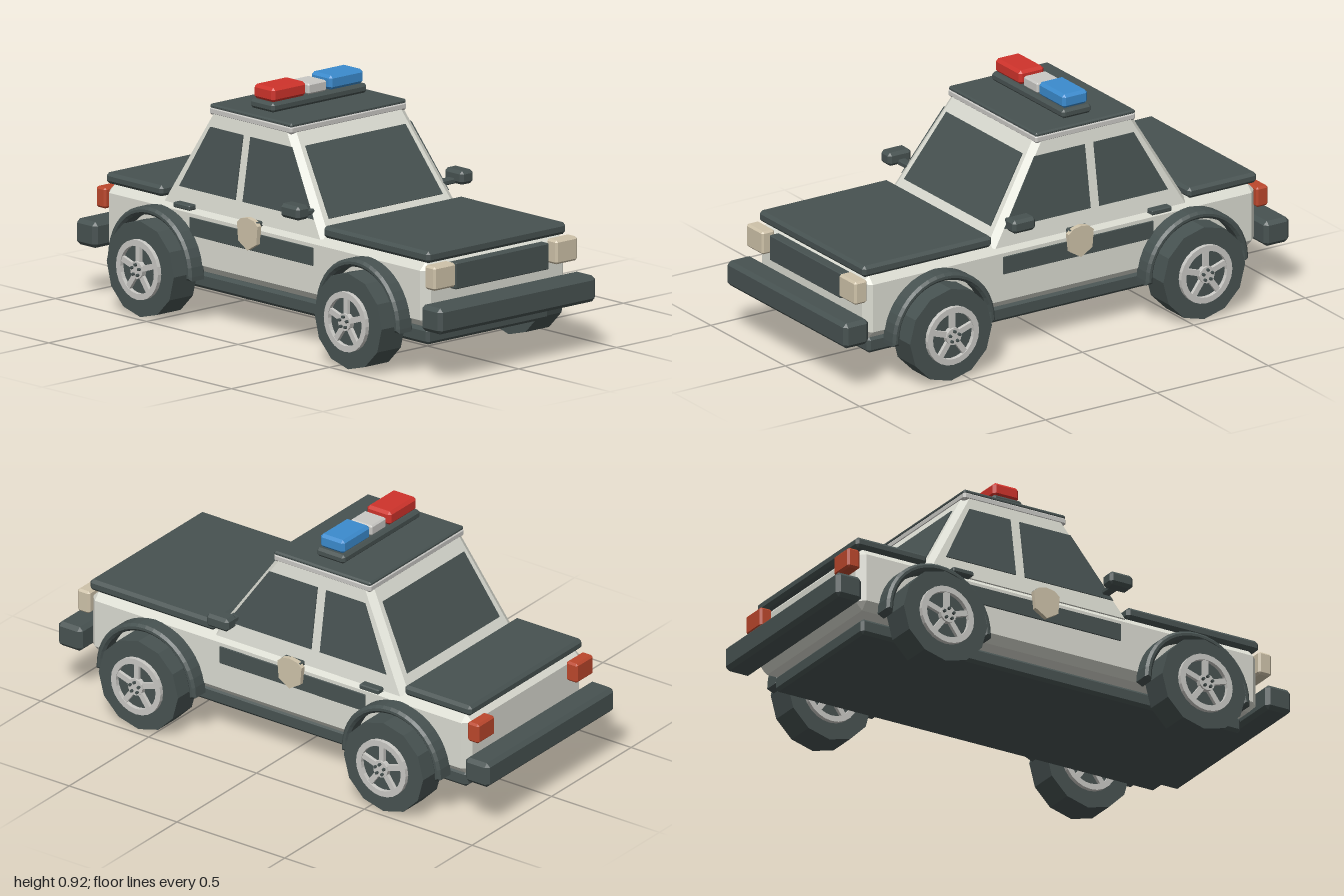
import * as THREE from 'three';
import { toCreasedNormals } from 'three/addons/utils/BufferGeometryUtils.js';
import { ConvexGeometry } from 'three/addons/geometries/ConvexGeometry.js';

const material = (name, color) => {
  const m = new THREE.MeshStandardMaterial({ color });
  m.name = name;
  return m;
};
const V = (x, y, z) => new THREE.Vector3(x, y, z);

export function createModel() {
  const dark = material('dark slate', 0x475251);
  const cream = material('cream paint', 0xdadbd1);
  const silver = material('silver trim', 0xc9c8c4);
  const beige = material('beige lamp', 0xcec2a9);
  const red = material('red lens', 0xcf332b);
  const blue = material('blue lens', 0x3b8bce);
  const orange = material('tail lens', 0xbb472c);

  const car = new THREE.Group();
  car.name = 'patrolCar';
  const add = (name, geometry, mat, parent = car) => {
    const mesh = new THREE.Mesh(geometry, mat);
    mesh.name = name;
    parent.add(mesh);
    return mesh;
  };

  // Box with chamfered edges, given by its extents on each axis
  const block = (name, mat, [x0, x1], [y0, y1], [z0, z1], b = 0.01) => {
    const h = [(x1 - x0) / 2, (y1 - y0) / 2, (z1 - z0) / 2];
    const points = [];
    for (const sx of [-1, 1]) for (const sy of [-1, 1]) for (const sz of [-1, 1]) {
      for (let k = 0; k < 3; k++) {
        const [x, y, z] = h.map((v, i) => (i === k ? v : v - b));
        points.push(V(sx * x, sy * y, sz * z));
      }
    }
    const mesh = add(name, new ConvexGeometry(points), mat);
    mesh.position.set((x0 + x1) / 2, (y0 + y1) / 2, (z0 + z1) / 2);
    return mesh;
  };
  // The same block on the left or right side
  const sideBlock = (name, mat, s, [x0, x1], y, z, b) =>
    block(name, mat, s > 0 ? [x0, x1] : [-x1, -x0], y, z, b);

  // Thin convex plate straddling the plane of its points
  const plate = (name, mat, points, thickness = 0.008) => {
    const n = points[1].clone().sub(points[0]).cross(points[2].clone().sub(points[0])).normalize();
    const half = thickness / 2;
    const all = points.flatMap(p => [p.clone().addScaledVector(n, half), p.clone().addScaledVector(n, -half)]);
    return add(name, new ConvexGeometry(all), mat);
  };

  // Body, chassis and panels
  block('body', cream, [-0.365, 0.365], [0.19, 0.44], [-0.88, 0.88], 0.03);
  block('chassis', dark, [-0.31, 0.31], [0.112, 0.175], [-0.835, 0.835], 0.012);
  block('hood', dark, [-0.355, 0.355], [0.44, 0.485], [0.305, 0.885], 0.012);
  block('trunk', dark, [-0.355, 0.355], [0.44, 0.482], [-0.885, -0.575], 0.012);
  block('frontBumper', dark, [-0.402, 0.402], [0.193, 0.293], [0.888, 1], 0.015);
  block('rearBumper', dark, [-0.402, 0.402], [0.193, 0.293], [-1, -0.888], 0.015);
  block('grille', dark, [-0.238, 0.238], [0.328, 0.428], [0.87, 0.912], 0.003);

  // Cabin: tapered block with chamfered corners
  const Y0 = 0.43, Y1 = 0.79;
  const lerpY = (y, a, b) => a + (b - a) * (y - Y0) / (Y1 - Y0);
  const sideX = y => lerpY(y, 0.354, 0.295);
  const frontZ = y => lerpY(y, 0.315, 0.07);
  const rearZ = y => lerpY(y, -0.58, -0.375);
  const cabin = [];
  for (const y of [Y0, Y1]) for (const s of [-1, 1]) {
    const x = sideX(y), f = frontZ(y), r = rearZ(y);
    cabin.push(V(s * x, y, f - 0.022), V(s * (x - 0.028), y, f),
      V(s * x, y, r + 0.022), V(s * (x - 0.028), y, r));
  }
  add('cabin', new ConvexGeometry(cabin), cream);
  block('roofTrim', silver, [-0.297, 0.297], [0.783, 0.815], [-0.378, 0.073], 0.008);
  block('roof', dark, [-0.295, 0.295], [0.807, 0.825], [-0.376, 0.071], 0.006);

  // Windows
  for (const [name, zAt] of [['windshield', frontZ], ['rearWindow', rearZ]]) {
    plate(name, dark, [V(-0.29, 0.495, zAt(0.495)), V(0.29, 0.495, zAt(0.495)),
      V(0.255, 0.74, zAt(0.74)), V(-0.255, 0.74, zAt(0.74))]);
  }
  const sideWindows = {
    frontSideWindow: [[0.247, 0.497], [0.084, 0.74], [-0.14, 0.74], [-0.14, 0.497]],
    rearSideWindow: [[-0.18, 0.497], [-0.18, 0.74], [-0.36, 0.74], [-0.487, 0.497]],
  };

  // Half-ring fender arch
  const arch = new THREE.Shape();
  arch.moveTo(0.22, -0.006);
  arch.absarc(0, 0, 0.22, 0, Math.PI, false);
  arch.lineTo(-0.22, -0.006);
  arch.lineTo(-0.21, -0.006);
  arch.absarc(0, 0, 0.21, Math.PI, 0, true);
  arch.lineTo(0.21, -0.006);
  const archGeometry = new THREE.ExtrudeGeometry(arch, {
    depth: 0.06, bevelSize: 0.01, bevelThickness: 0.01, bevelSegments: 1, curveSegments: 10,
  }).rotateY(Math.PI / 2).translate(-0.03, 0, 0);

  // Wheel parts, with the axle along x
  const drum = (r, width, sides) =>
    toCreasedNormals(new THREE.CylinderGeometry(r, r, width, sides).rotateZ(Math.PI / 2), 0.4);
  const tyreGeometry = drum(0.184, 0.12, 12);
  const hubGeometry = drum(0.034, 0.022, 12);
  const boltGeometry = drum(0.006, 0.012, 6);
  const ring = new THREE.Shape().absarc(0, 0, 0.115, 0, Math.PI * 2);
  ring.holes.push(new THREE.Path().absarc(0, 0, 0.092, 0, Math.PI * 2, true));
  const ringGeometry = new THREE.ExtrudeGeometry(ring, { depth: 0.018, bevelEnabled: false, curveSegments: 12 })
    .rotateY(Math.PI / 2).translate(-0.009, 0, 0);
  const spokeGeometry = new THREE.BoxGeometry(0.014, 0.08, 0.022).translate(0, 0.06, 0);

  const makeWheel = (x, z) => {
    const wheel = new THREE.Group();
    wheel.name = 'wheel';
    wheel.position.set(x, 0.184, z);
    car.add(wheel);
    add('tyre', tyreGeometry, dark, wheel);
    for (const s of [-1, 1]) {
      add('rim', ringGeometry, silver, wheel).position.x = s * 0.068;
      add('hub', hubGeometry, silver, wheel).position.x = s * 0.07;
      for (let i = 0; i < 5; i++) {
        const a = i * Math.PI * 2 / 5;
        const spoke = add('spoke', spokeGeometry, silver, wheel);
        spoke.position.x = s * 0.067;
        spoke.rotation.x = a;
        add('wheelBolt', boltGeometry, dark, wheel)
          .position.set(s * 0.085, Math.cos(a) * 0.021, Math.sin(a) * 0.021);
      }
    }
  };

  // Everything that repeats on both sides
  for (const s of [-1, 1]) {
    for (const [name, outline] of Object.entries(sideWindows)) {
      plate(name, dark, outline.map(([z, y]) => V(s * sideX(y), y, z)));
    }
    for (const z of [0.57, -0.567]) {
      makeWheel(s * 0.41, z);
      add('fenderArch', archGeometry, dark).position.set(s * 0.39, 0.184, z);
    }
    sideBlock('headlight', beige, s, [0.255, 0.367], [0.345, 0.437], [0.875, 0.932], 0.008);
    sideBlock('taillight', orange, s, [0.257, 0.363], [0.343, 0.423], [-0.928, -0.875], 0.008);
    sideBlock('mirrorArm', dark, s, [0.325, 0.4], [0.512, 0.534], [0.2, 0.235], 0.005);
    sideBlock('mirror', dark, s, [0.386, 0.451], [0.512, 0.565], [0.172, 0.275], 0.012);
    sideBlock('sideStripe', dark, s, [0.361, 0.37], [0.327, 0.396], [-0.406, 0.267], 0.001);
    for (const z of [-0.115, -0.48]) {
      sideBlock('doorHandle', dark, s, [0.345, 0.385], [0.424, 0.444], [z, z + 0.09], 0.004);
    }
    // Shield badge on the door
    const shield = [[0, 0.455], [0.035, 0.448], [0.056, 0.43], [0.05, 0.36],
      [0, 0.33], [-0.05, 0.36], [-0.056, 0.43], [-0.035, 0.448]];
    plate('doorBadge', beige, shield.map(([z, y]) => V(s * 0.378, y, z - 0.07)), 0.02);
  }

  // Roof light bar
  block('lightBarBase', dark, [-0.243, 0.243], [0.83, 0.866], [-0.215, -0.085], 0.01);
  block('lightBarMount', dark, [-0.12, 0.12], [0.82, 0.835], [-0.18, -0.12], 0.002);
  block('redBeacon', red, [-0.233, -0.06], [0.866, 0.921], [-0.206, -0.094], 0.011);
  block('blueBeacon', blue, [0.06, 0.233], [0.866, 0.921], [-0.206, -0.094], 0.011);
  block('centreBeacon', silver, [-0.047, 0.047], [0.866, 0.908], [-0.2, -0.1], 0.006);

  return car;
}
